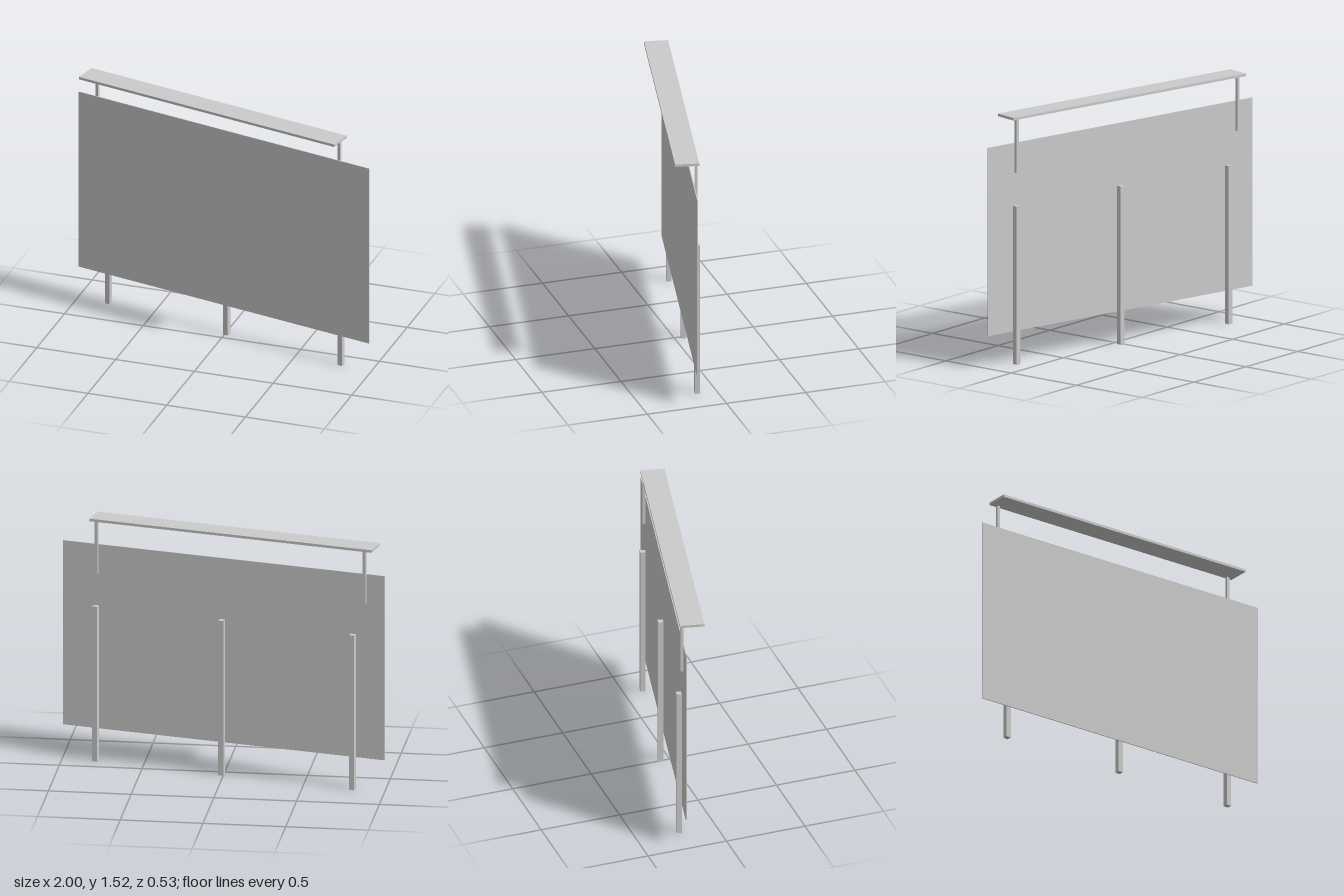
import * as THREE from 'three';

const material = new THREE.MeshStandardMaterial({ color: 0xcccccc, flatShading: true });

// Box given by its centre in x and z and its bottom and top in y
function addBox(parent, name, w, d, x, z, bottom, top) {
  const mesh = new THREE.Mesh(new THREE.BoxGeometry(w, top - bottom, d), material);
  mesh.name = name;
  mesh.position.set(x, (bottom + top) / 2, z);
  parent.add(mesh);
}

export function createModel() {
  const model = new THREE.Group();
  model.name = 'billboard';

  // The whole board stands turned about the vertical axis
  const board = new THREE.Group();
  board.name = 'turnedBoard';
  board.position.z = -0.037;
  board.rotation.y = -0.2156;
  model.add(board);

  // Thin display panel
  addBox(board, 'panel', 2.046, 0.006, 0, 0, 0.2, 1.36);

  // Ground posts behind the panel
  for (const x of [-0.825, 0.008, 0.812]) {
    addBox(board, 'groundPost', 0.032, 0.032, x, -0.019, 0, 0.975);
  }

  // Slim posts carrying the canopy
  for (const x of [-0.899, 0.807]) {
    addBox(board, 'canopyPost', 0.018, 0.018, x, -0.012, 1.177, 1.508);
  }

  // Canopy plate reaching forward over the panel
  addBox(board, 'canopy', 1.797, 0.146, -0.051, 0.045, 1.507, 1.523);

  return model;
}
